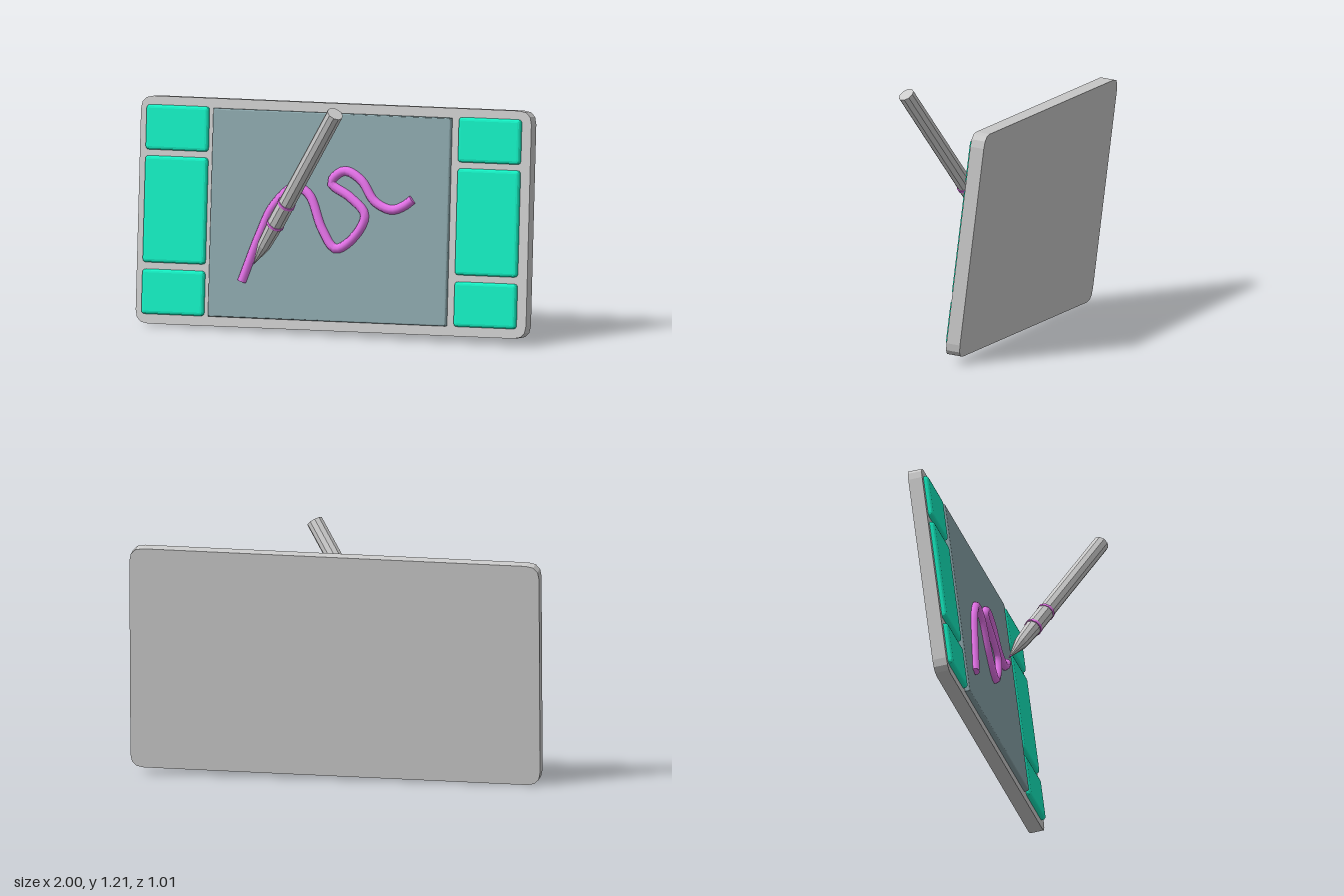
import * as THREE from 'three';

const grey = new THREE.MeshStandardMaterial({ color: 0xcccccc, flatShading: true });
const teal = new THREE.MeshStandardMaterial({ color: 0x14ecc0 });
const slate = new THREE.MeshStandardMaterial({ color: 0x8aa5aa, flatShading: true });
const pink = new THREE.MeshStandardMaterial({ color: 0xe673ea });

function add(parent, name, geometry, material, x = 0, y = 0, z = 0) {
  const mesh = new THREE.Mesh(geometry, material);
  mesh.name = name;
  mesh.position.set(x, y, z);
  parent.add(mesh);
  return mesh;
}

// Rounded rectangle slab from z = 0 to z = depth, with optional edge bevel
function slab(w, h, r, depth, bevel = 0) {
  const x = w / 2, y = h / 2, s = new THREE.Shape();
  s.moveTo(-x + r, -y);
  s.lineTo(x - r, -y).quadraticCurveTo(x, -y, x, -y + r);
  s.lineTo(x, y - r).quadraticCurveTo(x, y, x - r, y);
  s.lineTo(-x + r, y).quadraticCurveTo(-x, y, -x, y - r);
  s.lineTo(-x, -y + r).quadraticCurveTo(-x, -y, -x + r, -y);
  return new THREE.ExtrudeGeometry(s, {
    depth: depth - 2 * bevel, curveSegments: 3, bevelEnabled: bevel > 0,
    bevelSize: bevel, bevelOffset: -bevel, bevelThickness: bevel, bevelSegments: 3,
  }).translate(0, 0, bevel);
}

function makeTablet() {
  const tablet = new THREE.Group();
  tablet.name = 'tablet';
  const front = 0.035;

  add(tablet, 'tabletBody', slab(2.035, 1.115, 0.065, 0.07), grey, 0, 0, -0.035);
  add(tablet, 'drawingPanel', slab(1.24, 1.02, 0.004, 0.05, 0.008), slate, -0.014, 0, front - 0.025);

  // Three buttons down each side
  for (const x of [-0.822, 0.806]) {
    for (const [y, h] of [[0.405, 0.22], [0.004, 0.522], [-0.4, 0.22]]) {
      add(tablet, 'button', slab(0.325, h, 0.018, 0.06, 0.016), teal, x, y, front - 0.036);
    }
  }

  // Drawn squiggle lying on the panel
  const path = [
    [-0.458, -0.331], [-0.37, -0.096], [-0.304, 0.044], [-0.192, 0.143], [-0.119, 0.107],
    [-0.048, -0.056], [0.026, -0.152], [0.128, -0.083], [0.173, 0.021], [0.094, 0.103],
    [-0.006, 0.17], [0.061, 0.23], [0.15, 0.188], [0.224, 0.086], [0.313, 0.049],
    [0.374, 0.069], [0.42, 0.103],
  ].map(([x, y]) => new THREE.Vector3(x, y, 0.066));
  const curve = new THREE.CatmullRomCurve3(path);
  add(tablet, 'drawnLine', new THREE.TubeGeometry(curve, 90, 0.023, 8), pink);
  for (const end of [0, 1]) {
    const cap = add(tablet, 'drawnLineEnd', new THREE.CircleGeometry(0.023, 8), pink);
    cap.position.copy(curve.getPointAt(end));
    const out = curve.getTangentAt(end).multiplyScalar(end ? 1 : -1);
    cap.quaternion.setFromUnitVectors(new THREE.Vector3(0, 0, 1), out);
  }

  // Lean back and turn
  const u = new THREE.Vector3(0.964, 0.016, 0.266).normalize();
  const n = u.clone().cross(new THREE.Vector3(0.018, 0.993, -0.119)).normalize();
  const v = n.clone().cross(u);
  tablet.quaternion.setFromRotationMatrix(new THREE.Matrix4().makeBasis(u, v, n));
  tablet.position.set(0, 0.573, -0.14);
  return tablet;
}

function makePen() {
  const pen = new THREE.Group();
  pen.name = 'pen';
  const tip = new THREE.Vector3(-0.39, 0.36, 0.01);
  const end = new THREE.Vector3(0.048, 1.182, 0.472);
  const length = tip.distanceTo(end), sides = 10;

  // Turned barrel: point, grip, shaft
  const profile = [[0.006, 0.015], [0.034, 0.13], [0.041, 0.27], [0.043, 0.28], [0.043, 0.41],
    [0.041, 0.42], [0.041, length], [0, length]].map(([r, y]) => new THREE.Vector2(r, y));
  add(pen, 'penBarrel', new THREE.LatheGeometry(profile, sides), grey);
  add(pen, 'penNib', new THREE.CylinderGeometry(0.007, 0.002, 0.025, 6), pink, 0, 0.01);
  for (const y of [0.275, 0.415]) {
    add(pen, 'gripRing', new THREE.CylinderGeometry(0.046, 0.046, 0.014, sides), pink, 0, y);
  }

  pen.position.copy(tip);
  pen.quaternion.setFromUnitVectors(new THREE.Vector3(0, 1, 0), end.sub(tip).normalize());
  return pen;
}

export function createModel() {
  const model = new THREE.Group();
  model.name = 'drawingTablet';
  model.add(makeTablet(), makePen());
  return model;
}
